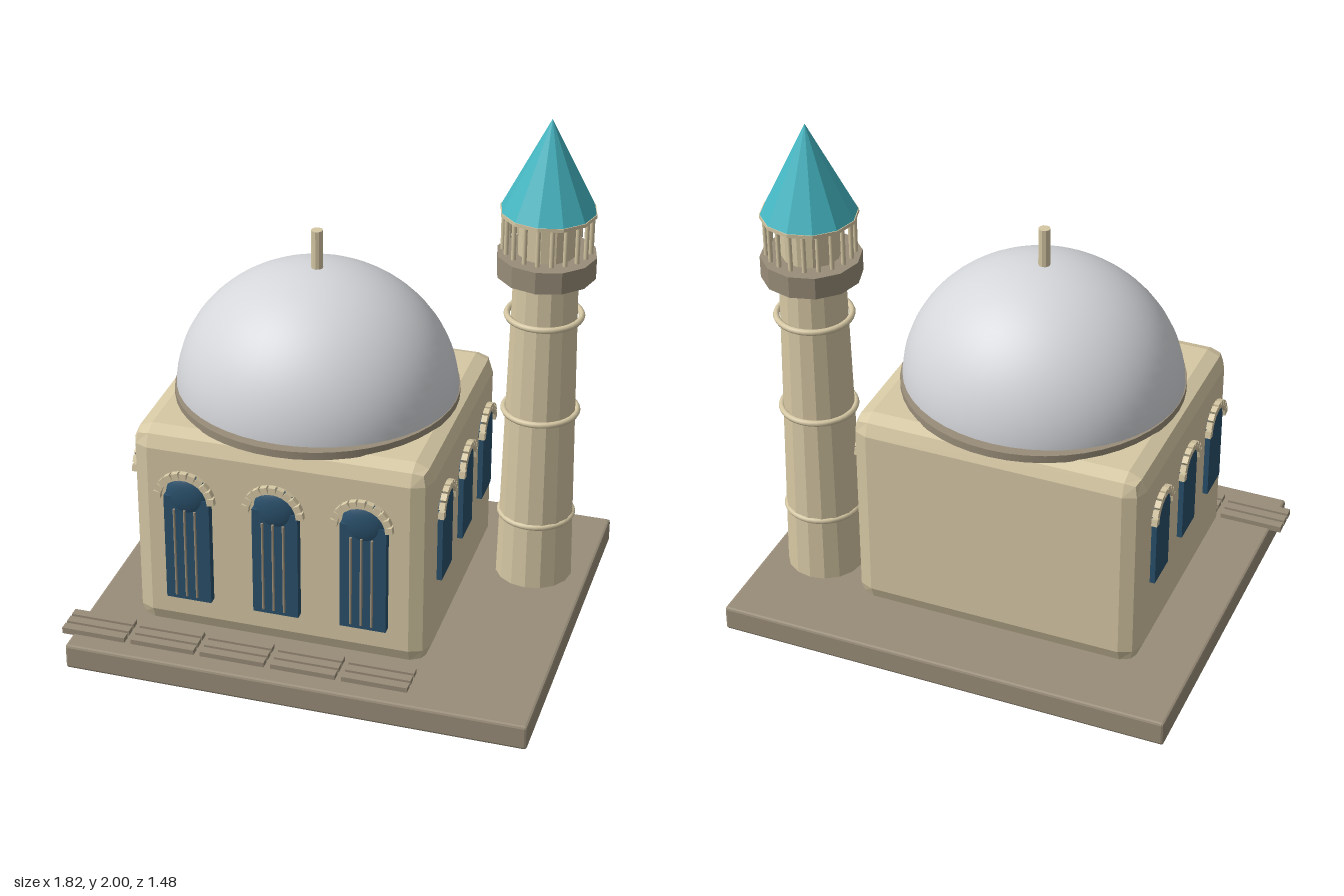
import * as THREE from 'three';
import { RoundedBoxGeometry } from 'three/addons/geometries/RoundedBoxGeometry.js';

const material = (name, color) => {
  const m = new THREE.MeshStandardMaterial({ color });
  m.name = name;
  return m;
};

// Facet a geometry so every face has its own normal
function faceted(geometry) {
  const g = geometry.index ? geometry.toNonIndexed() : geometry;
  g.computeVertexNormals();
  return g;
}

export function createModel() {
  const cream = material('cream plaster', 0xd6c8a4);
  const stone = material('brown stone', 0x998d79);
  const silver = material('dome silver', 0xd4d6da);
  const teal = material('teal roof', 0x45b6c2);
  const blue = material('blue glass', 0x2a506b);

  const model = new THREE.Group();
  model.name = 'domedBuildingWithTower';

  function add(parent, name, geometry, mat, x = 0, y = 0, z = 0) {
    const mesh = new THREE.Mesh(geometry, mat);
    mesh.name = name;
    mesh.position.set(x, y, z);
    parent.add(mesh);
    return mesh;
  }
  const prism = (rTop, rBottom, height, sides) =>
    faceted(new THREE.CylinderGeometry(rTop, rBottom, height, sides));

  // Plinth and main hall
  add(model, 'plinth', faceted(new RoundedBoxGeometry(1.775, 0.1, 1.48, 1, 0.01)), stone, 0.02, 0.05, -0.005);
  add(model, 'hall', faceted(new RoundedBoxGeometry(1.14, 0.84, 1.005, 1, 0.07)), cream, -0.1, 0.52, -0.003);

  // Dome with its rim and finial
  add(model, 'domeRim', new THREE.CylinderGeometry(0.535, 0.535, 0.03, 48), stone, -0.1, 0.95, 0);
  const dome = add(model, 'dome',
    new THREE.SphereGeometry(1, 48, 20, 0, Math.PI * 2, 0, Math.PI / 2), silver, -0.1, 0.95, 0);
  dome.scale.set(0.533, 0.49, 0.495);
  add(model, 'finial', prism(0.022, 0.022, 0.17, 10), cream, -0.1, 1.505, 0);

  // Arch stones around a half circle, in the local xy plane
  function archStones(parent, radius, centreY, count, z) {
    const width = (Math.PI * radius) / count - 0.003;
    const block = new THREE.BoxGeometry(0.028, width, 0.022);
    for (let i = 0; i < count; i++) {
      const a = (Math.PI * (i + 0.5)) / count;
      const mesh = add(parent, 'archStone', block, cream,
        radius * Math.cos(a), centreY + radius * Math.sin(a), z);
      mesh.rotation.z = a;
    }
  }

  // Tall front windows: pane, rounded head, three bars
  for (const x of [-0.44, -0.1, 0.235]) {
    const win = new THREE.Group();
    win.name = 'frontWindow';
    win.position.set(x, 0, 0.5);
    add(win, 'pane', new THREE.BoxGeometry(0.175, 0.44, 0.05), blue, 0, 0.48, 0.008);
    const head = add(win, 'windowHead', new THREE.SphereGeometry(0.086, 24, 16), blue, 0, 0.7, 0.008);
    head.scale.z = 0.4;
    for (const dx of [-0.04, 0, 0.04])
      add(win, 'bar', new THREE.CylinderGeometry(0.005, 0.005, 0.37, 8), stone, dx, 0.475, 0.054);
    archStones(win, 0.104, 0.7, 11, 0.05);
    model.add(win);
  }

  // Arched side windows
  const arch = new THREE.Shape();
  arch.moveTo(-0.072, 0.42);
  arch.lineTo(0.072, 0.42);
  arch.lineTo(0.072, 0.695);
  arch.absarc(0, 0.695, 0.072, 0, Math.PI, false);
  arch.closePath();
  const archPane = new THREE.ExtrudeGeometry(arch, { depth: 0.03, bevelEnabled: false, curveSegments: 16 });
  for (const [wallX, side] of [[0.47, 1], [-0.67, -1]]) {
    for (const z of [-0.3, 0, 0.3]) {
      const win = new THREE.Group();
      win.name = side > 0 ? 'leftWindow' : 'rightWindow';
      win.position.set(wallX, 0, z);
      win.rotation.y = (side * Math.PI) / 2;
      add(win, 'pane', archPane, blue, 0, 0, -0.01);
      archStones(win, 0.088, 0.695, 9, 0.019);
      model.add(win);
    }
  }

  // Paving strips along the front
  const paver = new THREE.BoxGeometry(0.25, 0.025, 0.036);
  for (let col = 0; col < 5; col++)
    for (let row = 0; row < 3; row++)
      add(model, 'paver', paver, stone, -0.785 + col * 0.275, 0.107, 0.54 + row * 0.048);

  // Tower
  const tower = new THREE.Group();
  tower.name = 'tower';
  tower.position.set(0.69, 0, -0.3);
  model.add(tower);
  add(tower, 'shaft', prism(0.122, 0.15, 1.32, 16), cream, 0, 0.75, 0);
  for (const y of [0.37, 0.82, 1.22]) {
    const band = add(tower, 'band', new THREE.TorusGeometry(0.14, 0.012, 8, 32), cream, 0, y, 0);
    band.rotation.x = Math.PI / 2;
  }
  add(tower, 'balcony', prism(0.187, 0.187, 0.085, 12), stone, 0, 1.432, 0);
  add(tower, 'lanternCore', prism(0.11, 0.11, 0.17, 12), cream, 0, 1.555, 0);
  const post = new THREE.CylinderGeometry(0.009, 0.009, 0.15, 8);
  for (let i = 0; i < 20; i++) {
    const a = (i / 20) * Math.PI * 2;
    add(tower, 'lanternPost', post, cream, 0.163 * Math.sin(a), 1.565, 0.163 * Math.cos(a));
  }
  add(tower, 'eave', prism(0.18, 0.18, 0.014, 12), cream, 0, 1.64, 0);
  add(tower, 'spire', faceted(new THREE.ConeGeometry(0.178, 0.355, 12)), teal, 0, 1.8225, 0);

  return model;
}
